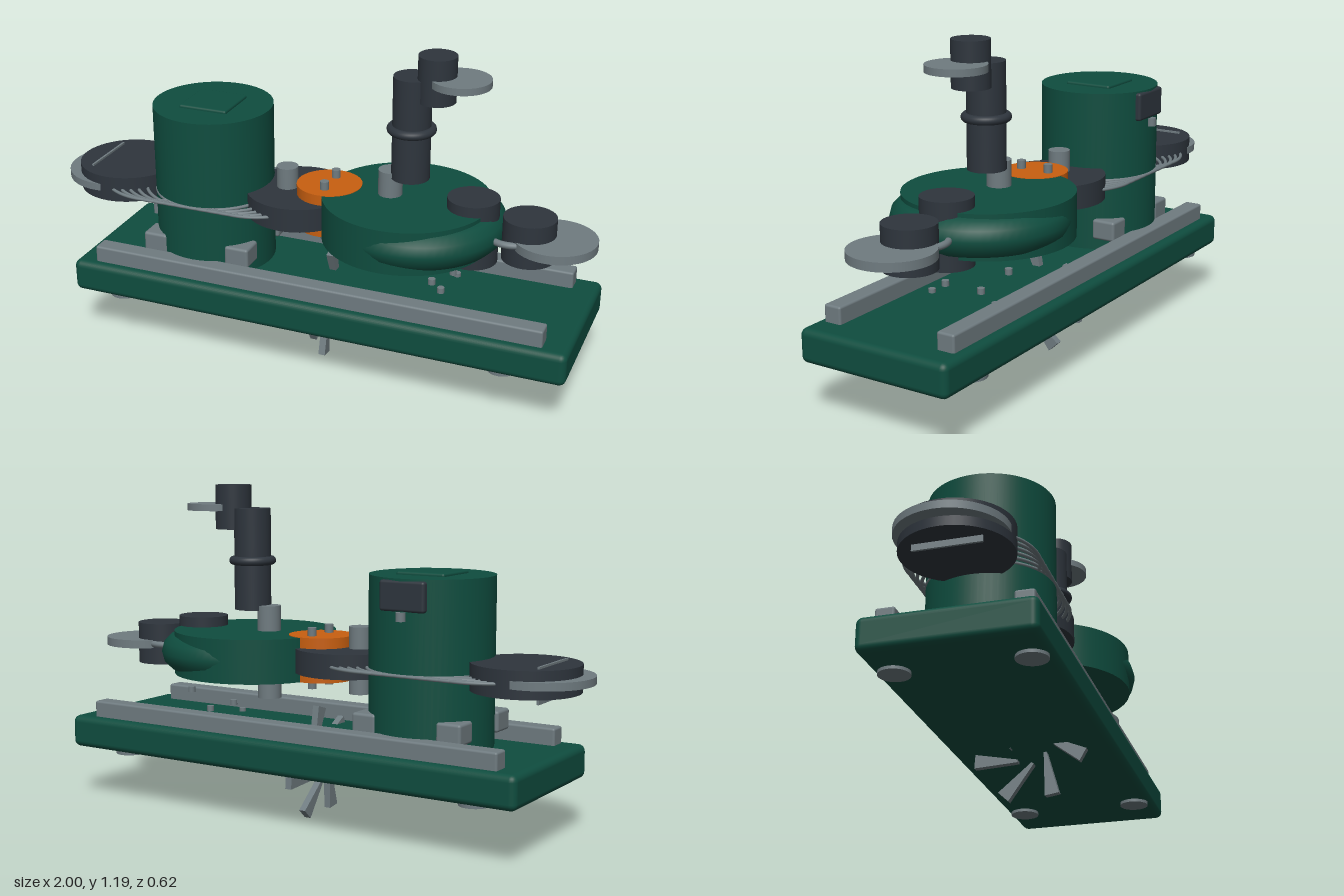
import * as THREE from 'three';
import { RoundedBoxGeometry } from 'three/addons/geometries/RoundedBoxGeometry.js';

const mat = (name, color) => {
  const m = new THREE.MeshStandardMaterial({ color });
  m.name = name;
  return m;
};

export function createModel() {
  const group = new THREE.Group();
  const green = mat('deep green paint', 0x0f4d3f);
  const dark = mat('dark iron', 0x2e353d);
  const steel = mat('grey steel', 0x6f7b80);
  const orange = mat('orange coupling', 0xc85f10);

  const add = (name, geometry, material, x, y, z) => {
    const mesh = new THREE.Mesh(geometry, material);
    mesh.name = name;
    mesh.position.set(x, y, z);
    group.add(mesh);
    return mesh;
  };
  // Upright cylinder between two heights
  const disc = (name, material, x, z, r, y0, y1, sides = 48) =>
    add(name, new THREE.CylinderGeometry(r, r, y1 - y0, sides), material, x, (y0 + y1) / 2, z);
  // Box given by its limits, rounded when r > 0
  const box = (name, material, [x0, x1], [y0, y1], [z0, z1], r = 0) => {
    const s = [x1 - x0, y1 - y0, z1 - z0];
    const g = r ? new RoundedBoxGeometry(...s, 3, r) : new THREE.BoxGeometry(...s);
    return add(name, g, material, (x0 + x1) / 2, (y0 + y1) / 2, (z0 + z1) / 2);
  };
  // Flat-lying ring
  const ring = (name, material, x, y, R, r) => {
    const m = add(name, new THREE.TorusGeometry(R, r, 12, 64), material, x, y, 0);
    m.rotation.x = Math.PI / 2;
    return m;
  };

  // Base plate, rails and pads
  box('basePlate', green, [-0.87, 0.98], [0.203, 0.322], [-0.288, 0.288], 0.024);
  for (const s of [-1, 1]) {
    box('baseRail', steel, [-0.79, 0.89], [0.315, 0.382], [s * 0.223 - 0.033, s * 0.223 + 0.033], 0.008);
    for (const x of [-0.695, 0.75]) disc('basePad', steel, x, s * 0.22, 0.053, 0.192, 0.21, 24);
  }

  // Motor body with top plate, feet and terminal box
  disc('motorBody', green, -0.415, 0, 0.217, 0.322, 0.91, 64);
  box('motorTopPlate', green, [-0.507, -0.323], [0.89, 0.921], [-0.092, 0.092], 0.008);
  for (const x of [-0.577, -0.253]) {
    for (const z of [-0.14, 0.14]) {
      box('motorFoot', steel, [x - 0.046, x + 0.046], [0.365, 0.44], [z - 0.046, z + 0.046], 0.01);
    }
  }
  box('terminalBox', dark, [-0.502, -0.332], [0.8, 0.904], [-0.22, -0.15], 0.01);
  disc('cableGland', steel, -0.417, -0.222, 0.017, 0.77, 0.8, 16);

  // Cooling rings around the motor
  for (let i = 0; i < 10; i++) ring('coolingRing', steel, -0.62 + i * 0.042, 0.587, 0.218, 0.006);

  // Fan cover and its grille
  disc('fanCover', dark, -0.767, 0, 0.186, 0.542, 0.636);
  disc('fanGrille', steel, -0.815, 0, 0.185, 0.575, 0.602);
  box('grilleBar', steel, [-0.866, -0.858], [0.52, 0.643], [-0.115, 0.115]);

  // Bearing housing, shafts and coupling
  disc('bearingHousing', dark, -0.08, 0, 0.192, 0.545, 0.632);
  disc('motorShaft', steel, -0.127, 0, 0.039, 0.47, 0.71, 24);
  disc('coupling', orange, 0.035, 0, 0.117, 0.51, 0.67, 40);
  for (const z of [-0.056, 0.056]) disc('couplingBolt', steel, 0.038, z, 0.016, 0.48, 0.7, 12);
  disc('pumpShaft', steel, 0.263, 0, 0.043, 0.418, 0.76, 24);

  // Pump casing and volute
  disc('pumpCasing', green, 0.325, 0, 0.298, 0.51, 0.668, 72);
  ring('volute', green, 0.37, 0.588, 0.24, 0.07);

  // Suction side: cover, nozzle and flange
  disc('suctionCover', dark, 0.565, 0, 0.091, 0.47, 0.705);
  ring('suctionRing', steel, 0.71, 0.59, 0.09, 0.012);
  disc('suctionNozzle', dark, 0.765, 0, 0.092, 0.512, 0.666);
  disc('suctionFlange', steel, 0.855, 0, 0.145, 0.574, 0.605);

  // Discharge side: pipe, collar, elbow and flange
  disc('dischargePipe', dark, 0.335, 0, 0.067, 0.742, 1.112);
  ring('dischargeCollar', dark, 0.335, 0.922, 0.07, 0.016);
  disc('dischargeElbow', dark, 0.42, 0, 0.066, 1.034, 1.196);
  disc('dischargeFlange', steel, 0.502, 0, 0.104, 1.101, 1.126);

  // Casing bolts
  for (const s of [-1, 1]) {
    for (const [y, z] of [[0.455, 0.184], [0.366, 0.073], [0.326, 0.13]]) {
      disc('casingBolt', steel, 0.482, s * z, 0.013, y - 0.01, y + 0.01, 12);
    }
  }

  // Swept impeller blades: narrow at the root, wide at the tip
  const impeller = new THREE.Group();
  impeller.name = 'impeller';
  impeller.position.set(0.047, 0.203, 0);
  const root = new THREE.Vector2(0.05, 0.042);
  const tip = new THREE.Vector2(0.2, 0);
  const side = tip.clone().sub(root).normalize();
  side.set(-side.y, side.x);
  const corner = (p, w) => p.clone().addScaledVector(side, w);
  const outline = new THREE.Shape([corner(root, -0.005), corner(tip, -0.025), corner(tip, 0.025), corner(root, 0.005)]);
  const bladeGeometry = new THREE.ExtrudeGeometry(outline, { depth: 0.025, bevelEnabled: false });
  bladeGeometry.translate(0, 0, -0.0125);
  // Turn the drawing plane so that its x runs along z
  bladeGeometry.rotateY(-Math.PI / 2);
  for (let i = 0; i < 7; i++) {
    const blade = new THREE.Mesh(bladeGeometry, steel);
    blade.name = 'impellerBlade';
    blade.rotation.x = THREE.MathUtils.degToRad(14.5 + i * 360 / 7);
    impeller.add(blade);
  }
  group.add(impeller);

  return group;
}
